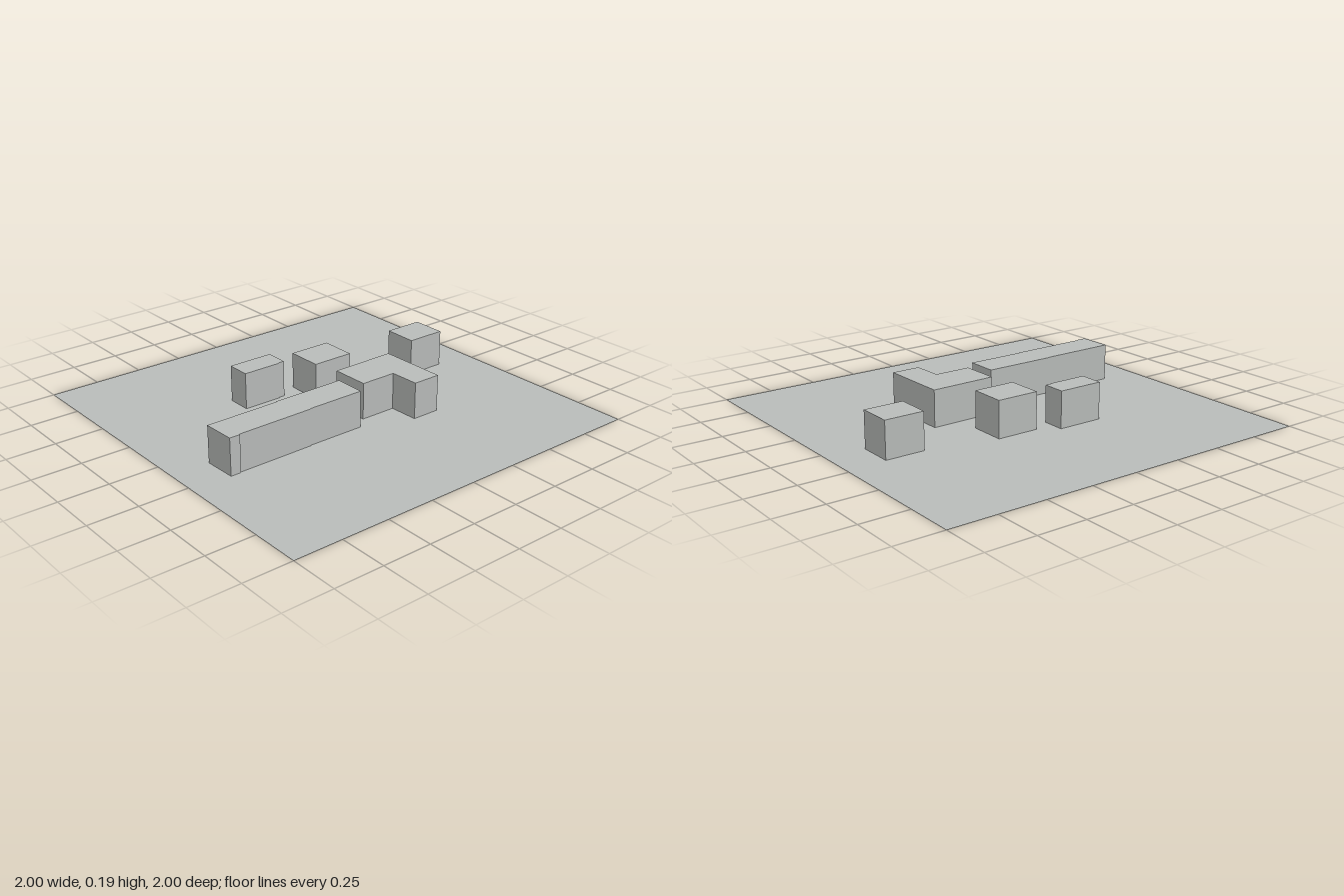
import * as THREE from 'three';

const HEIGHT = 0.19;

// Building footprints as [x, z] corners
const footprints = {
  rearBlock: [[-0.335, -0.37], [-0.095, -0.37], [-0.095, -0.25], [-0.13, -0.25], [-0.13, -0.245], [-0.335, -0.245]],
  middleBlock: [[0.003, -0.305], [0.227, -0.305], [0.227, -0.117], [0.005, -0.117]],
  sideBlock: [[0.59, -0.225], [0.797, -0.225], [0.797, -0.045], [0.588, -0.045]],
  cornerBlock: [[0.035, 0.01], [0.38, 0.005], [0.385, 0.365], [0.235, 0.365], [0.23, 0.21], [0.038, 0.21]],
  longBlock: [[-0.8, 0.112], [-0.41, 0.11], [-0.41, 0.106], [-0.03, 0.106], [-0.03, 0.268],
    [-0.335, 0.268], [-0.335, 0.272], [-0.74, 0.275], [-0.74, 0.28], [-0.795, 0.28]],
};

export function createModel() {
  const model = new THREE.Group();
  const grey = new THREE.MeshStandardMaterial({ color: 0xb9bcba });
  grey.name = 'concreteGrey';
  grey.side = THREE.DoubleSide;

  // Flat square site
  const ground = new THREE.Mesh(new THREE.PlaneGeometry(2, 2).rotateX(-Math.PI / 2), grey);
  ground.name = 'ground';
  model.add(ground);

  // Flat-roofed buildings raised from their footprints
  for (const [name, corners] of Object.entries(footprints)) {
    const outline = new THREE.Shape(corners.map(([x, z]) => new THREE.Vector2(x, -z)));
    const geometry = new THREE.ExtrudeGeometry(outline, { depth: HEIGHT, bevelEnabled: false });
    const block = new THREE.Mesh(geometry.rotateX(-Math.PI / 2), grey);
    block.name = name;
    model.add(block);
  }
  return model;
}
